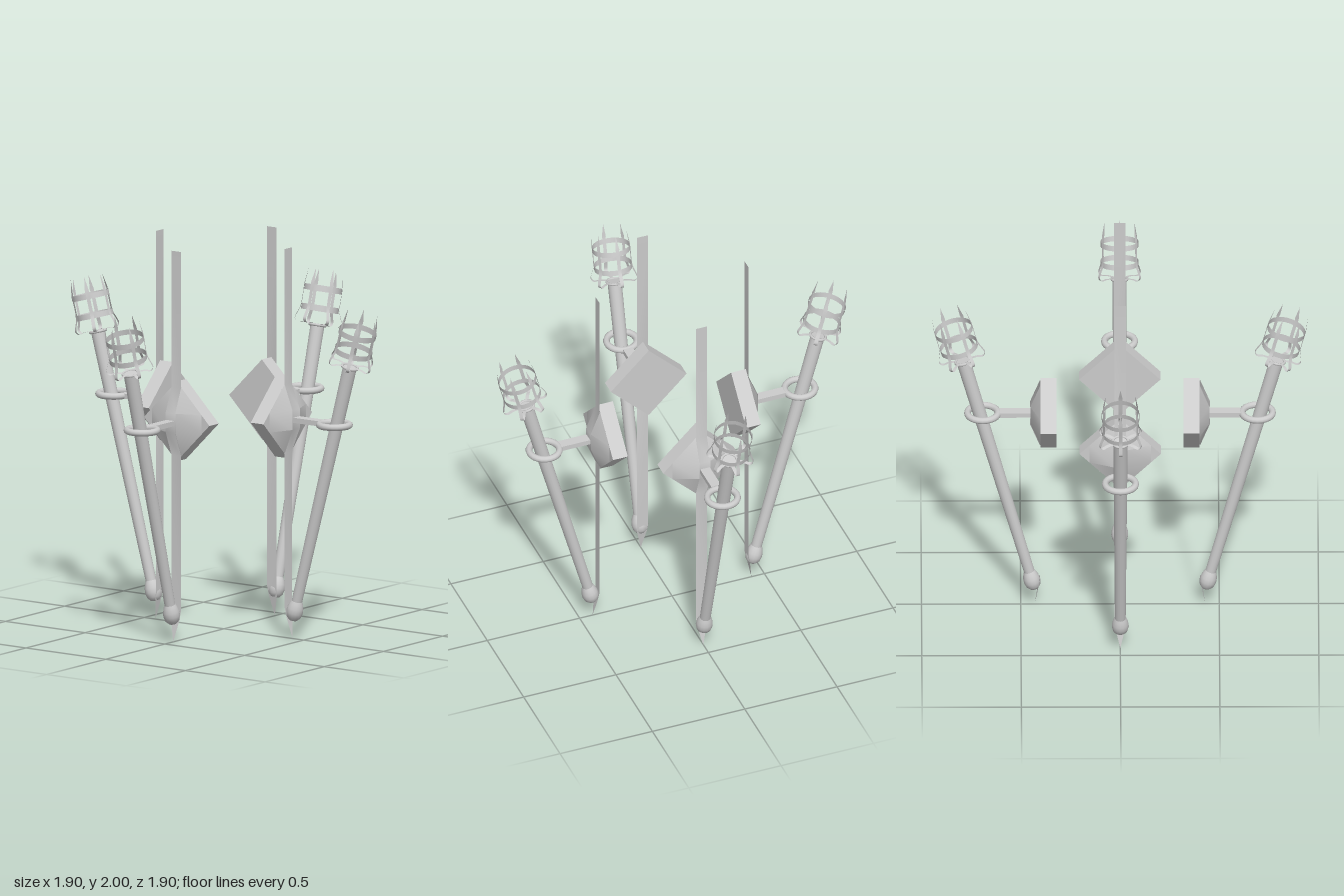
import * as THREE from 'three';

const solid = new THREE.MeshStandardMaterial({ color: 0xcccccc });
const faceted = new THREE.MeshStandardMaterial({ color: 0xcccccc, flatShading: true });
const thin = new THREE.MeshStandardMaterial({ color: 0xcccccc, side: THREE.DoubleSide });

function add(parent, name, geometry, material = solid, x = 0, y = 0, z = 0) {
  const mesh = new THREE.Mesh(geometry, material);
  mesh.name = name;
  mesh.position.set(x, y, z);
  parent.add(mesh);
  return mesh;
}

// Builds a surface from vertices and triangle indices
function surface(vertices, indices) {
  const g = new THREE.BufferGeometry();
  g.setAttribute('position', new THREE.Float32BufferAttribute(vertices.flat(), 3));
  g.setIndex(indices);
  g.computeVertexNormals();
  return g;
}

// Flat strap following [z, y, halfWidth] points, width along x
function strap(points) {
  const v = [], idx = [];
  points.forEach(([z, y, w], i) => {
    v.push([-w, y, z], [w, y, z]);
    if (i) {
      const a = 2 * i - 2;
      idx.push(a, a + 1, a + 3, a, a + 3, a + 2);
    }
  });
  return surface(v, idx);
}

// Raised front of the wall plate: octagonal foot rising to a small rectangle
function bossGeometry() {
  const foot = [[0.03, 0.175], [-0.03, 0.175], [-0.155, 0.05], [-0.155, -0.05],
    [-0.03, -0.175], [0.03, -0.175], [0.155, -0.05], [0.155, 0.05]];
  const v = foot.map(([x, y]) => [x, y, 0]);
  foot.forEach(([x, y]) => v.push([Math.sign(x) * 0.03, Math.sign(y) * 0.05, 0.05]));
  const idx = [];
  for (let i = 0; i < 8; i++) {
    const j = (i + 1) % 8;
    idx.push(i, j, j + 8, i, j + 8, i + 8);
  }
  idx.push(8, 9, 11, 8, 11, 13);
  return surface(v, idx);
}

function createBasket() {
  const basket = new THREE.Group();
  basket.name = 'basket';
  // Prong sweeps out, curls up and ends in a spike
  const curve = new THREE.CatmullRomCurve3([[0.035, 0.005], [0.075, 0.008], [0.105, 0.004],
    [0.119, 0.02], [0.113, 0.045], [0.1, 0.08], [0.097, 0.12], [0.097, 0.2], [0.093, 0.235], [0.087, 0.285]]
    .map(([r, t]) => new THREE.Vector3(0, t, r)));
  const points = curve.getPoints(32).map((p) => [p.z, p.y,
    p.y > 0.21 ? Math.max(0, 0.011 * (0.285 - p.y) / 0.075) : 0.009]);
  const prong = strap(points);
  for (let i = 0; i < 6; i++) add(basket, 'prong', prong, thin).rotation.y = i * Math.PI / 3;
  // Two hoops
  for (const t of [0.085, 0.185]) {
    add(basket, 'hoop', new THREE.CylinderGeometry(0.096, 0.096, 0.028, 24, 1, true), thin, 0, t, 0);
  }
  add(basket, 'collar', new THREE.TorusGeometry(0.04, 0.007, 8, 20)).rotation.x = Math.PI / 2;
  return basket;
}

function createTorch() {
  const torch = new THREE.Group();
  torch.name = 'torch';
  torch.position.set(0, 1.435, 0.79);
  torch.rotation.x = Math.PI / 12;
  add(torch, 'handle', new THREE.CylinderGeometry(0.036, 0.027, 1.33, 16), solid, 0, -0.665, 0);
  // Pear-shaped knob at the foot
  const profile = [[0, -0.056], [0.022, -0.05], [0.037, -0.033], [0.043, -0.008],
    [0.041, 0.015], [0.034, 0.038], [0.026, 0.055]].map((p) => new THREE.Vector2(...p));
  add(torch, 'knob', new THREE.LatheGeometry(profile, 16), solid, 0, -1.335, 0);
  torch.add(createBasket());
  return torch;
}

function createSconce() {
  const sconce = new THREE.Group();
  sconce.name = 'wallTorch';
  const y = 1.127;
  // Diamond wall plate
  add(sconce, 'wallPlate', new THREE.BoxGeometry(0.29, 0.29, 0.08), faceted, 0, y, 0.36)
    .rotation.z = Math.PI / 4;
  add(sconce, 'plateBoss', bossGeometry(), solid, 0, y, 0.4);
  // Long thin strap, bent over the boss and pointed at the bottom
  add(sconce, 'wallStrap', strap([[0.403, 2, 0.03], [0.403, y + 0.176, 0.03], [0.453, y + 0.05, 0.03],
    [0.453, y - 0.05, 0.03], [0.403, y - 0.176, 0.03], [0.403, 0.16, 0.03], [0.412, 0.11, 0.026], [0.43, 0, 0]]), thin);
  // Arm and ring holding the torch
  add(sconce, 'arm', new THREE.BoxGeometry(0.052, 0.026, 0.17), faceted, 0, y, 0.535);
  add(sconce, 'ring', new THREE.TorusGeometry(0.077, 0.017, 10, 24), solid, 0, y, 0.692)
    .rotation.x = Math.PI / 2;
  sconce.add(createTorch());
  return sconce;
}

export function createModel() {
  const model = new THREE.Group();
  model.name = 'wallTorches';
  // One torch facing each direction
  for (let i = 0; i < 4; i++) {
    const sconce = createSconce();
    sconce.rotation.y = i * Math.PI / 2;
    model.add(sconce);
  }
  return model;
}
